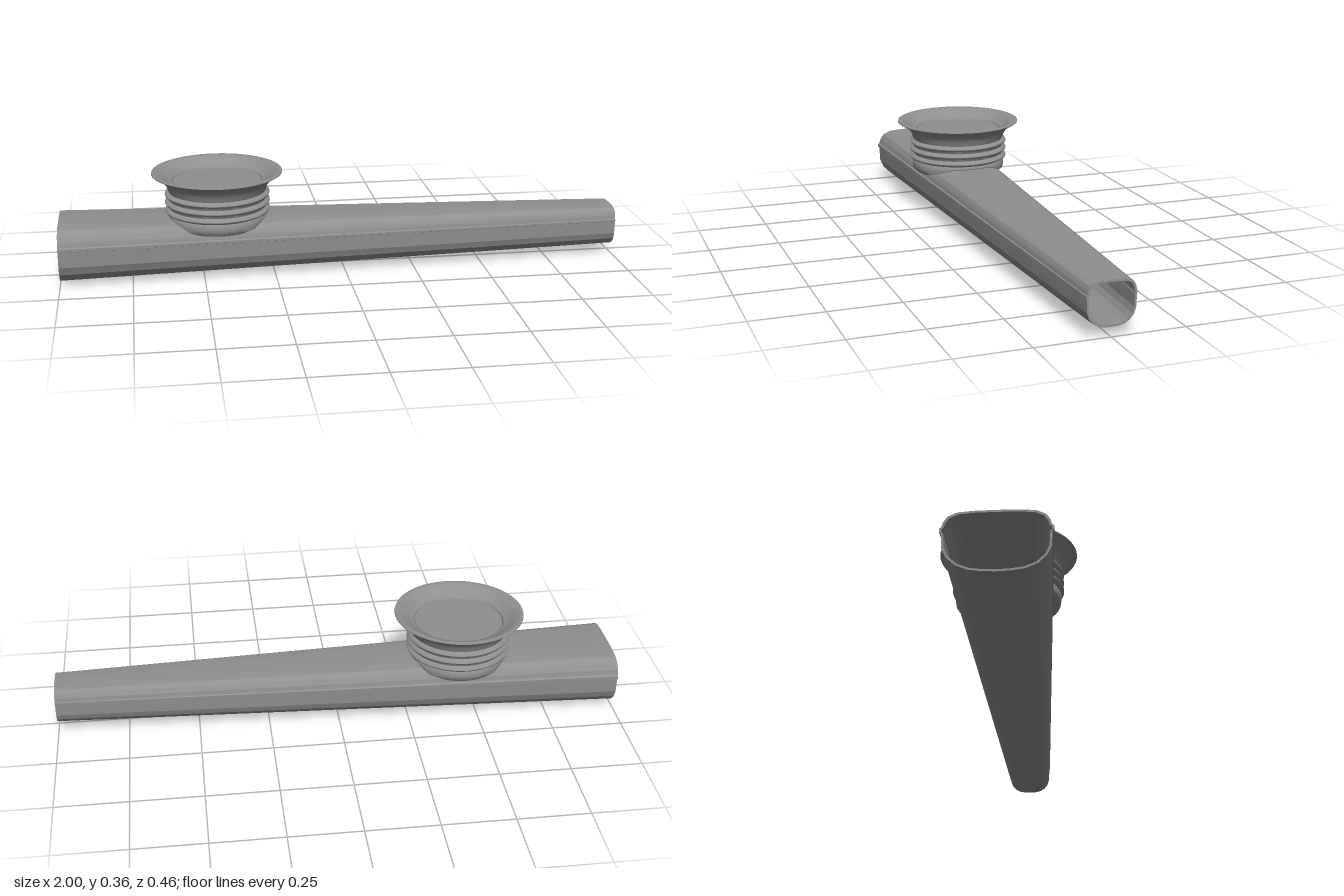
import * as THREE from 'three';
import { toCreasedNormals } from 'three/addons/utils/BufferGeometryUtils.js';

const metal = new THREE.MeshStandardMaterial({ color: 0x8f8f8f, side: THREE.DoubleSide });
metal.name = 'grey metal';

// Half cross-sections [z, y] from bottom centre to top centre, with a small seam lip on the side
const wideHalf = [[0, 0], [0.045, 0.002], [0.085, 0.008], [0.122, 0.024], [0.148, 0.05], [0.162, 0.08],
  [0.165, 0.136], [0.17, 0.138], [0.17, 0.149], [0.164, 0.153], [0.159, 0.17], [0.146, 0.189],
  [0.118, 0.202], [0.07, 0.206], [0, 0.207]];
const narrowHalf = [[0, 0.032], [0.023, 0.033], [0.042, 0.037], [0.06, 0.048], [0.073, 0.064], [0.08, 0.085],
  [0.082, 0.132], [0.084, 0.133], [0.084, 0.138], [0.081, 0.14], [0.079, 0.154], [0.072, 0.168],
  [0.058, 0.177], [0.035, 0.18], [0, 0.181]];

// Mirror a half section into a closed loop of 3D points
function ring(half, x, inset = 0) {
  const loop = [...half, ...half.slice(1, -1).reverse().map(([z, y]) => [-z, y])];
  const top = half[half.length - 1][1], low = half[0][1];
  const mid = (top + low) / 2, width = Math.max(...half.map(p => p[0]));
  const sz = 1 - inset / width, sy = 1 - inset / ((top - low) / 2);
  return loop.map(([z, y]) => [x, mid + (y - mid) * sy, z * sz]);
}

// Hollow body: outer skin, narrow rim, inner skin and wide rim joined in one closed strip
function bodyGeometry() {
  const wall = 0.007;
  const rings = [ring(wideHalf, -1), ring(narrowHalf, 1), ring(narrowHalf, 1, wall), ring(wideHalf, -1, wall)];
  const pos = [];
  rings.forEach((a, r) => {
    const b = rings[(r + 1) % rings.length];
    a.forEach((p, i) => {
      const j = (i + 1) % a.length;
      pos.push(...p, ...b[i], ...b[j], ...p, ...b[j], ...a[j]);
    });
  });
  const g = new THREE.BufferGeometry();
  g.setAttribute('position', new THREE.Float32BufferAttribute(pos, 3));
  g.computeVertexNormals();
  return toCreasedNormals(g, 0.2);
}

// Round turret: saddle base, three ridges, flared rim and funnel
function turretGeometry() {
  const pts = [[0.125, 0.17], [0.165, 0.17], [0.173, 0.178], [0.175, 0.19], [0.175, 0.205], [0.17, 0.213]];
  for (const y of [0.224, 0.253, 0.282]) {
    for (let k = 0; k <= 6; k++) {
      const a = -Math.PI / 2 + (k / 6) * Math.PI;
      pts.push([0.174 + 0.011 * Math.cos(a), y + 0.008 * Math.sin(a)]);
    }
    pts.push([0.171, y + 0.011]);
  }
  pts.push([0.174, 0.3], [0.178, 0.312], [0.186, 0.325], [0.197, 0.336], [0.211, 0.346], [0.226, 0.354],
    [0.23, 0.357], [0.229, 0.361], [0.224, 0.363], [0.21, 0.359], [0.193, 0.35], [0.178, 0.339],
    [0.168, 0.334], [0.162, 0.333], [0.157, 0.329], [0.155, 0.322]);
  const g = new THREE.LatheGeometry(pts.map(p => new THREE.Vector2(...p)), 64);
  // Lift the bottom edge where it straddles the body
  const p = g.attributes.position;
  for (let i = 0; i < p.count; i++) {
    const lift = 0.03 * (1 - THREE.MathUtils.smoothstep(Math.abs(p.getZ(i)), 0.06, 0.155));
    const y = p.getY(i);
    if (y < 0.21) p.setY(i, Math.max(y, Math.min(0.17 + lift + (y - 0.17) * 0.2, 0.205)));
  }
  return toCreasedNormals(g, 0.7);
}

export function createModel() {
  const model = new THREE.Group();
  model.name = 'kazoo';
  const add = (name, geometry, parent) => {
    const mesh = new THREE.Mesh(geometry, metal);
    mesh.name = name;
    parent.add(mesh);
    return mesh;
  };
  add('body', bodyGeometry(), model);

  const turret = new THREE.Group();
  turret.name = 'turret';
  turret.position.x = -0.443;
  model.add(turret);
  add('turretShell', turretGeometry(), turret);
  const membrane = add('membrane', new THREE.CircleGeometry(0.157, 64), turret);
  membrane.rotation.x = -Math.PI / 2;
  membrane.position.y = 0.325;
  return model;
}
